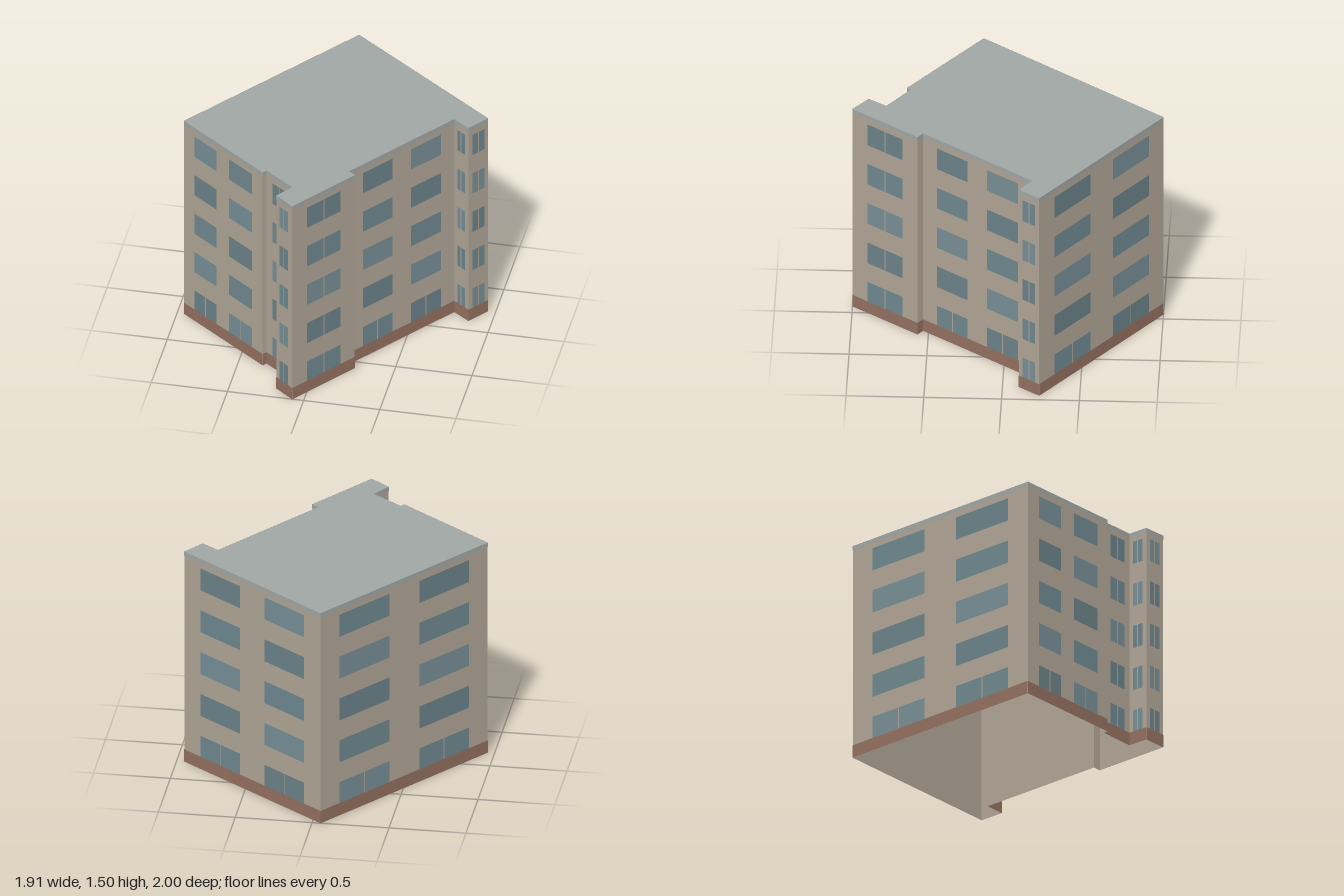
import * as THREE from 'three';

const HEIGHT = 1.5, BASE = 0.088, BAND = 0.03;
const FLOORS = 5, STOREY = 0.299, PANE_H = 0.157, MULLION = 0.008;

const mat = (color, side = THREE.FrontSide) =>
  new THREE.MeshStandardMaterial({ color, side });

// Walls in order round the plan: start corner [x, z], window spans as fractions
// of the wall, and whether the windows are split on every floor.
const WALLS = [
  { p: [-0.055, -1], win: [[0.12, 0.41], [0.59, 0.88]] },
  { p: [0.95, -0.24], win: [[0.2, 0.8]], split: true },
  { p: [0.85, -0.105], win: [[0.24, 0.76]], split: true },
  { p: [0.74, -0.187], win: [[0.13, 0.415], [0.59, 0.87]] },
  { p: [0.2, 0.535], win: [] },
  { p: [0.245, 0.57], win: [[0.23, 0.765]], split: true },
  { p: [-0.075, 1], win: [[0.24, 0.8]], split: true },
  { p: [-0.2, 0.9], win: [[0.22, 0.78]], split: true },
  { p: [-0.12, 0.785], win: [[0.2, 0.75]], split: true },
  { p: [-0.32, 0.635], win: [] },
  { p: [-0.34, 0.66], win: [[0.13, 0.423], [0.585, 0.862]] },
  { p: [-0.955, 0.19], win: [[0.113, 0.41], [0.59, 0.887]] },
];

export function createModel() {
  const building = new THREE.Group();
  building.name = 'apartmentBlock';

  const wallMat = mat(0xb0a596, THREE.DoubleSide);
  const baseMat = mat(0x93705f);
  const roofMat = mat(0xa0a7a4, THREE.DoubleSide);
  const glassMats = [0x6a8289, 0x6f888f, 0x768e96].map((c) => mat(c));

  // Upright rectangle from a to b along a wall, y0 to y1, slightly proud of it
  const panel = (parent, name, material, a, b, y0, y1, out) => {
    const mesh = new THREE.Mesh(new THREE.PlaneGeometry(b - a, y1 - y0), material);
    mesh.position.set(-(a + b) / 2, (y0 + y1) / 2, out);
    mesh.name = name;
    parent.add(mesh);
  };

  WALLS.forEach(({ p, win, split }, i) => {
    const q = WALLS[(i + 1) % WALLS.length].p;
    const dx = q[0] - p[0], dz = q[1] - p[1];
    const len = Math.hypot(dx, dz);

    // Local +z points outwards, local -x runs along the wall
    const side = new THREE.Group();
    side.name = `facade${i + 1}`;
    side.position.set(p[0], 0, p[1]);
    side.rotation.y = Math.atan2(dz, -dx);
    building.add(side);

    panel(side, 'wall', wallMat, 0, len, 0, HEIGHT, 0);
    panel(side, 'basePlinth', baseMat, 0, len, 0, BASE, 0.0015);
    panel(side, 'roofEdgeBand', roofMat, 0, len, HEIGHT - BAND, HEIGHT, 0.0015);

    // Windows, floor by floor; ground floor windows always have two panes
    for (let floor = 0; floor < FLOORS; floor++) {
      const y0 = 0.08 + floor * STOREY, y1 = y0 + PANE_H;
      const sill = Math.max(y0, BASE);
      win.forEach(([f0, f1], k) => {
        const a = f0 * len, b = f1 * len, mid = (a + b) / 2;
        const glass = glassMats[(i * 2 + floor * 2 + k) % 3];
        if (split || floor === 0) {
          panel(side, 'windowPane', glass, a, mid - MULLION / 2, sill, y1, 0.002);
          panel(side, 'windowPane', glass, mid + MULLION / 2, b, sill, y1, 0.002);
        } else {
          panel(side, 'window', glass, a, b, sill, y1, 0.002);
        }
      });
    }
  });

  // Flat roof following the plan
  const plan = new THREE.Shape(WALLS.map(({ p }) => new THREE.Vector2(p[0], -p[1])));
  const roof = new THREE.Mesh(new THREE.ShapeGeometry(plan).rotateX(-Math.PI / 2), roofMat);
  roof.position.y = HEIGHT;
  roof.name = 'flatRoof';
  building.add(roof);

  return building;
}
